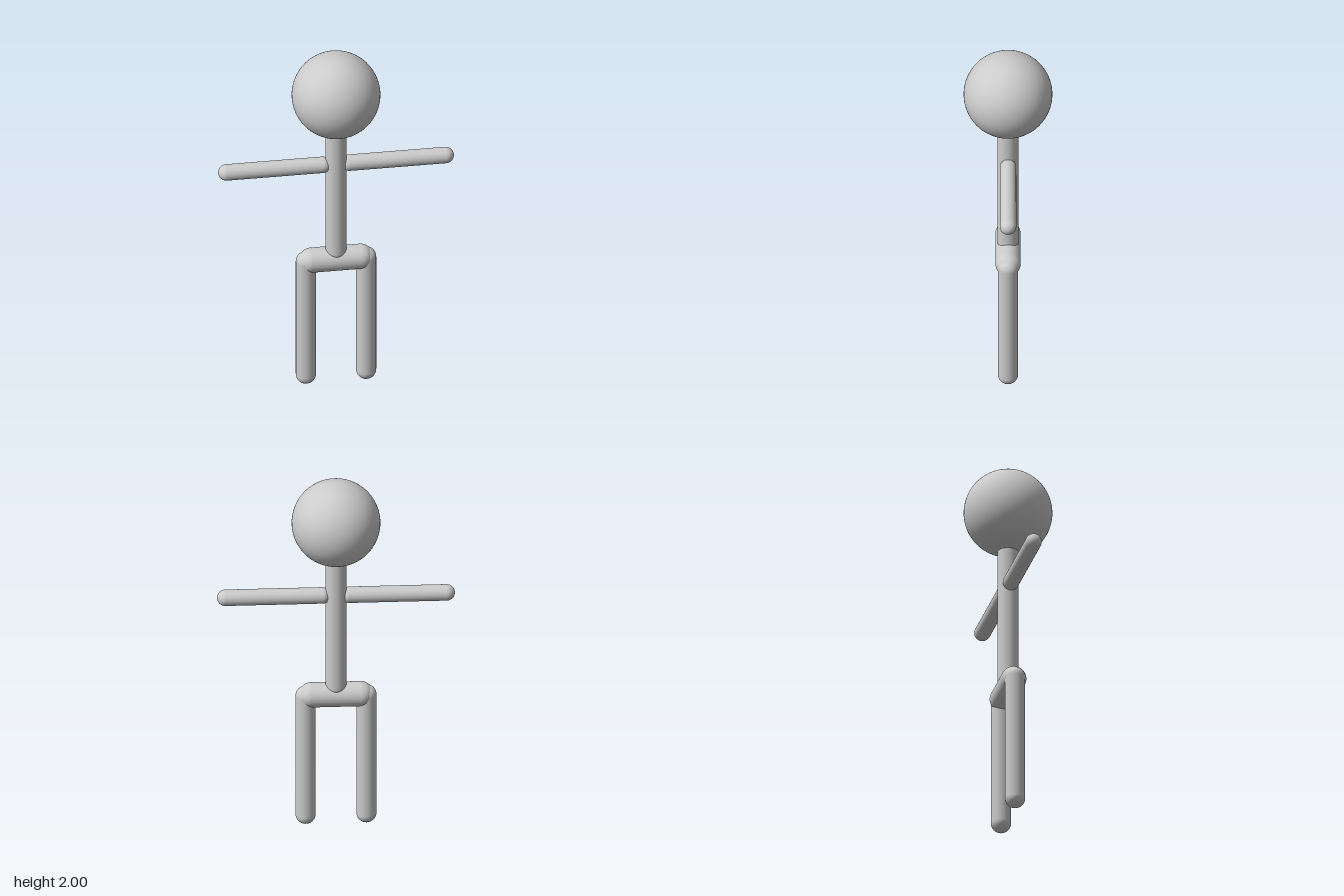
import * as THREE from 'three';

const material = new THREE.MeshStandardMaterial({ color: 0xcccccc });

// Round-ended limb between two points (the points are the centres of the end caps)
function limb(name, radius, from, to) {
  const a = new THREE.Vector3(...from);
  const b = new THREE.Vector3(...to);
  const axis = b.clone().sub(a);
  const mesh = new THREE.Mesh(new THREE.CapsuleGeometry(radius, axis.length(), 16, 48), material);
  mesh.name = name;
  mesh.position.copy(a).add(b).multiplyScalar(0.5);
  mesh.quaternion.setFromUnitVectors(new THREE.Vector3(0, 1, 0), axis.normalize());
  return mesh;
}

export function createModel() {
  const figure = new THREE.Group();
  figure.name = 'stickFigure';

  // Head
  const head = new THREE.Mesh(new THREE.SphereGeometry(0.232, 64, 48), material);
  head.name = 'head';
  head.position.y = 1.768;
  figure.add(head);

  // Torso and hip bar
  figure.add(limb('torso', 0.056, [0, 0.81, 0], [0, 1.6, 0]));
  figure.add(limb('hips', 0.066, [-0.13, 0.754, 0], [0.13, 0.754, 0]));

  // Arms and legs, mirrored
  for (const [side, s] of [['left', 1], ['right', -1]]) {
    figure.add(limb(side + 'Arm', 0.043, [s * 0.07, 1.34, 0], [s * 0.579, 1.34, 0]));
    figure.add(limb(side + 'Leg', 0.053, [s * 0.159, 0.053, 0], [s * 0.159, 0.75, 0]));
  }

  return figure;
}
